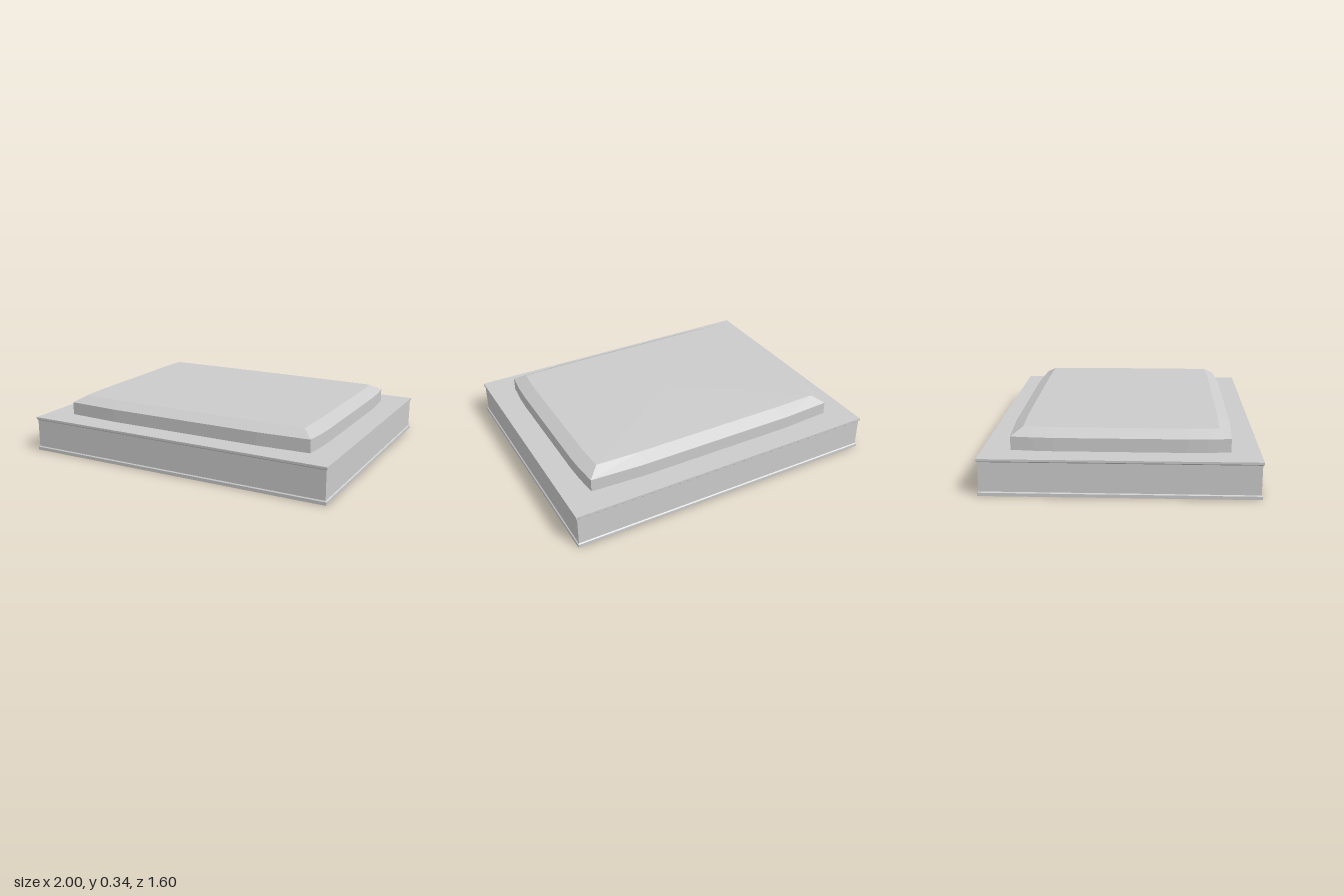
import * as THREE from 'three';

// Full closed outline from one quadrant [x, depth], running counter-clockwise seen from above
function mirrorLoop(quadrant) {
  const back = quadrant.slice().reverse();
  return [
    ...quadrant.map(([x, d]) => [x, d]),
    ...back.map(([x, d]) => [-x, d]),
    ...quadrant.map(([x, d]) => [-x, -d]),
    ...back.map(([x, d]) => [x, -d]),
  ];
}

const at = (loop, y) => loop.map(([x, d]) => [x, y, -d]);

// Skin between successive loops, with an optional fan to a centre point
function skin(rings, apex) {
  const pos = [];
  const tri = (a, b, c) => pos.push(...a, ...b, ...c);
  for (let r = 0; r < rings.length - 1; r++) {
    const a = rings[r], b = rings[r + 1];
    a.forEach((p, i) => {
      const j = (i + 1) % a.length;
      tri(p, a[j], b[j]);
      tri(p, b[j], b[i]);
    });
  }
  if (apex) {
    const top = rings[rings.length - 1];
    top.forEach((p, i) => tri(apex, p, top[(i + 1) % top.length]));
  }
  const g = new THREE.BufferGeometry();
  g.setAttribute('position', new THREE.Float32BufferAttribute(pos, 3));
  g.computeVertexNormals();
  return g;
}

export function createModel() {
  const model = new THREE.Group();
  const mat = new THREE.MeshStandardMaterial({
    color: 0xcccccc, flatShading: true, side: THREE.DoubleSide,
  });
  const add = (name, geometry) => {
    const mesh = new THREE.Mesh(geometry, mat);
    mesh.name = name;
    model.add(mesh);
  };

  // Hollow skirt with a slim lip along the bottom and top edges
  const outer = mirrorLoop([[1, 0.8]]);
  const inner = mirrorLoop([[0.993, 0.793]]);
  add('skirt', skin([
    at(outer, 0), at(outer, 0.02), at(inner, 0.025),
    at(inner, 0.2), at(outer, 0.207), at(outer, 0.22),
  ]));

  // Raised panel outlines: gently bowed sides, slightly pinched corners
  const foot = mirrorLoop([[0.85, 0.38], [0.845, 0.5], [0.832, 0.632], [0.5, 0.65]]);
  const crown = mirrorLoop([[0.775, 0.38], [0.77, 0.5], [0.765, 0.566], [0.5, 0.574]]);

  // Flat deck around the panel opening
  const toPoints = (loop) => loop.map(([x, d]) => new THREE.Vector2(x, d));
  const deckShape = new THREE.Shape(toPoints(outer));
  deckShape.holes.push(new THREE.Path(toPoints(foot)));
  const deck = new THREE.ShapeGeometry(deckShape);
  deck.rotateX(-Math.PI / 2);
  deck.translate(0, 0.22, 0);
  add('deck', deck);

  // Hollow raised panel: upright side, bevel and barely domed top
  add('raisedPanel', skin([at(foot, 0.22), at(foot, 0.3), at(crown, 0.341)], [0, 0.345, 0]));

  return model;
}
